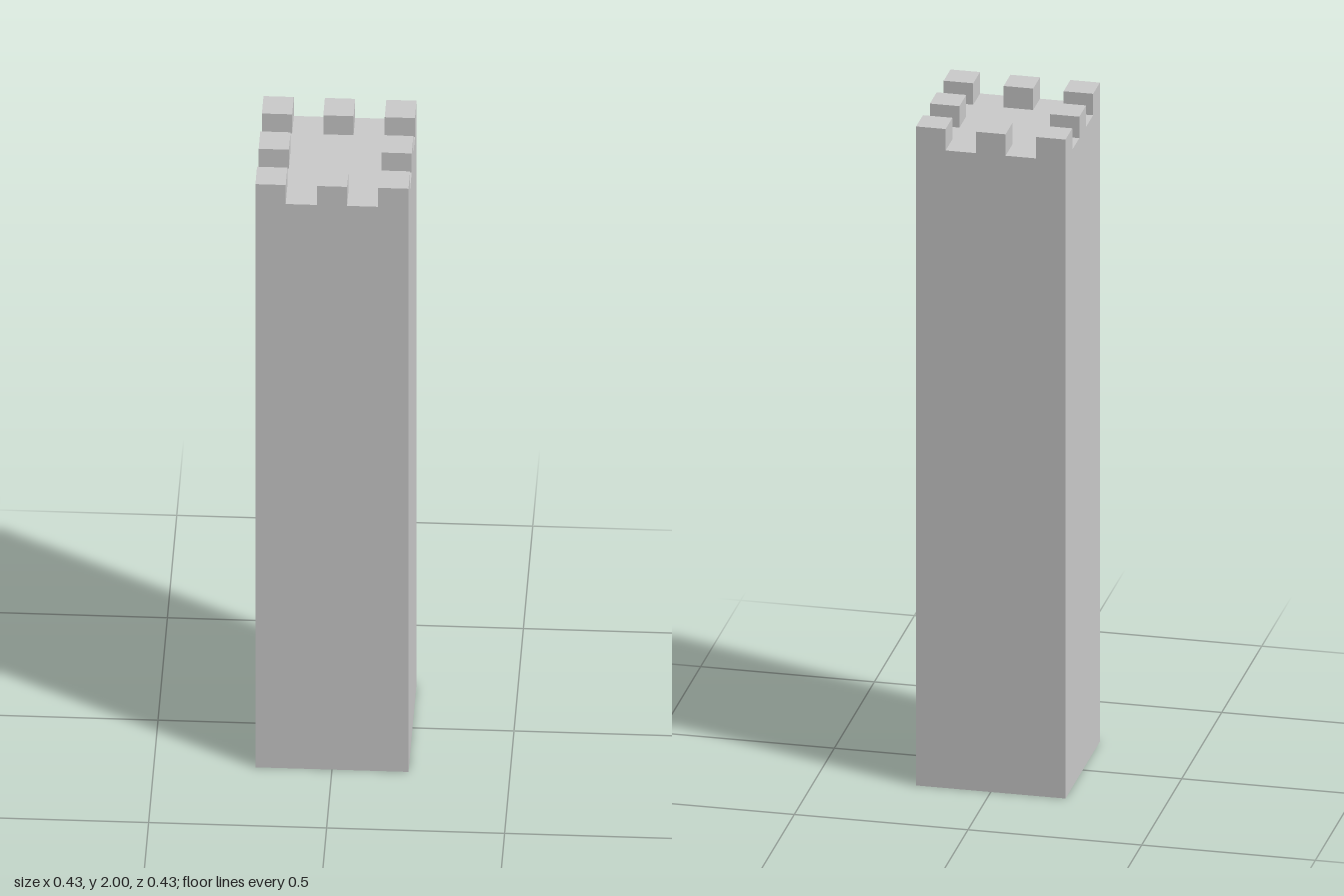
import * as THREE from 'three';

const WIDTH = 0.43;
const HEIGHT = 2;
const MERLON = 0.085;        // merlon footprint
const MERLON_HEIGHT = 0.065;

export function createModel() {
  const tower = new THREE.Group();
  tower.name = 'tower';
  const stone = new THREE.MeshStandardMaterial({ color: 0xcccccc, flatShading: true });

  // Square shaft with a flat roof
  const shaftHeight = HEIGHT - MERLON_HEIGHT;
  const shaft = new THREE.Mesh(new THREE.BoxGeometry(WIDTH, shaftHeight, WIDTH), stone);
  shaft.name = 'shaft';
  shaft.position.y = shaftHeight / 2;
  tower.add(shaft);

  // Battlements: a merlon at each corner and at the middle of each side
  const battlements = new THREE.Group();
  battlements.name = 'battlements';
  const merlonGeometry = new THREE.BoxGeometry(MERLON, MERLON_HEIGHT, MERLON);
  const offset = (WIDTH - MERLON) / 2;
  for (const i of [-1, 0, 1]) {
    for (const k of [-1, 0, 1]) {
      if (i === 0 && k === 0) continue;
      const merlon = new THREE.Mesh(merlonGeometry, stone);
      merlon.name = i && k ? 'cornerMerlon' : 'sideMerlon';
      merlon.position.set(i * offset, HEIGHT - MERLON_HEIGHT / 2, k * offset);
      battlements.add(merlon);
    }
  }
  tower.add(battlements);

  return tower;
}
